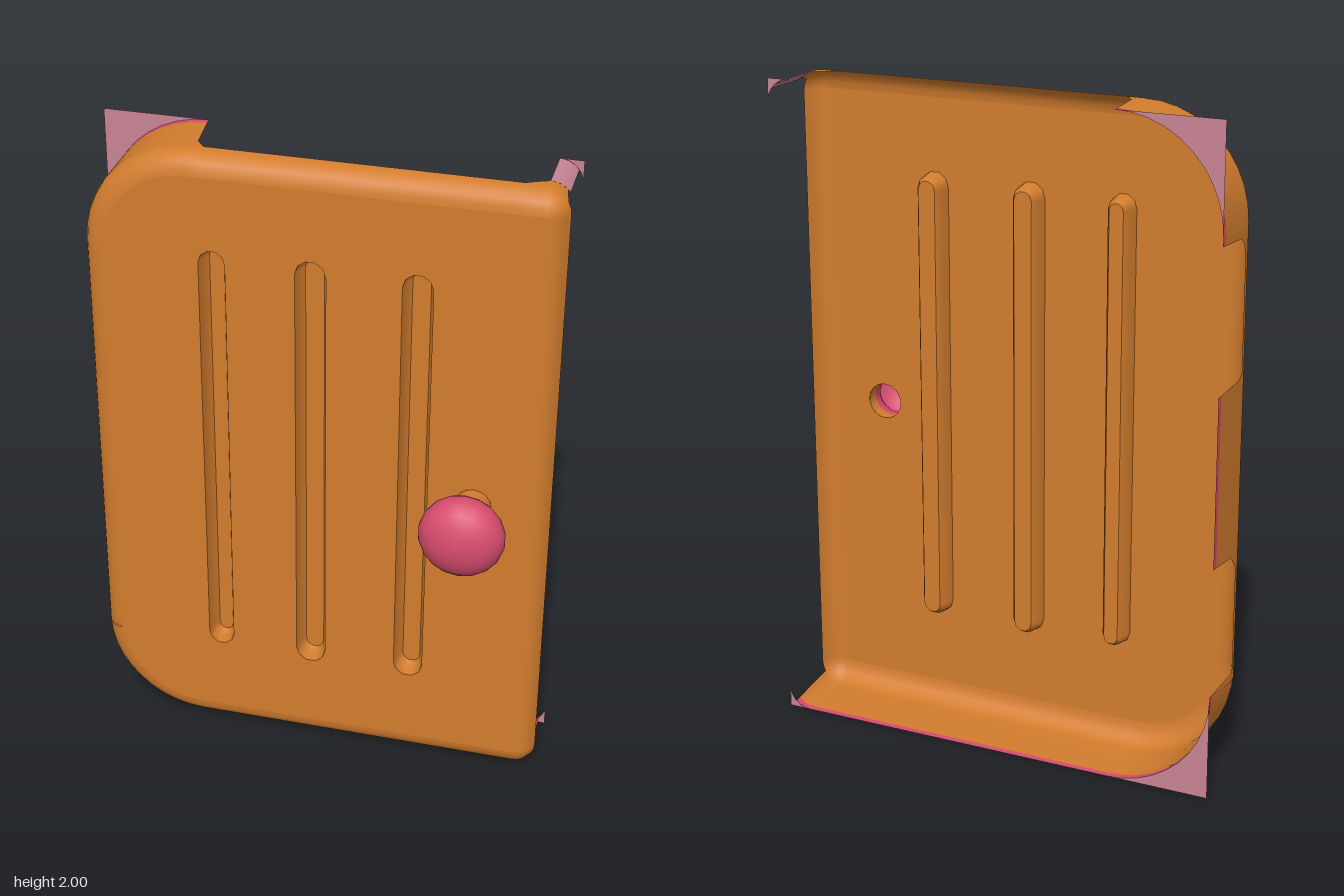
import * as THREE from 'three';

const BACK = -0.25, EDGE = -0.228, FILLET = 0.065, HALF_W = 0.705;
const R_LEFT = 0.32, R_RIGHT = 0.07;

const mat = (name, color) => {
  const m = new THREE.MeshStandardMaterial({ color, side: THREE.DoubleSide });
  m.name = name;
  return m;
};

// Skin between successive rows of points
function loft(rows, closed) {
  const n = rows[0].length, pos = [], index = [];
  rows.forEach(row => row.forEach(p => pos.push(...p)));
  for (let i = 0; i < rows.length - 1; i++) {
    for (let j = 0; j < (closed ? n : n - 1); j++) {
      const k = (j + 1) % n, a = i * n + j, b = i * n + k, c = a + n, d = b + n;
      index.push(a, c, b, b, c, d);
    }
  }
  const g = new THREE.BufferGeometry();
  g.setAttribute('position', new THREE.Float32BufferAttribute(pos, 3));
  g.setIndex(index);
  g.computeVertexNormals();
  return g;
}

// Stations around the rim: position, outward direction and wall depth
function arc(cx, cy, r, from, to, steps, depth) {
  return Array.from({ length: steps + 1 }, (_, i) => {
    const t = i / steps, a = (from + (to - from) * t) * Math.PI;
    const nx = Math.cos(a), ny = Math.sin(a);
    return { x: cx + r * nx, y: cy + r * ny, nx, ny, d: depth(t) };
  });
}

function rimStations() {
  const xl = -HALF_W + R_LEFT, xr = HALF_W - R_RIGHT;
  const top = [[0.61, -0.09], [0.57, -0.07], [-0.345, -0.07], [-0.37, -0.1]];
  const left = [[1.655, BACK], [1.645, -0.11], [1.63, -0.085], [1.59, -0.07], [1.25, -0.07],
    [1.235, -0.09], [1.23, BACK], [0.72, BACK], [0.705, -0.11], [0.66, -0.07],
    [0.34, -0.07], [0.3, -0.09], [0.325, BACK]];
  return [
    ...arc(xl, R_LEFT, R_LEFT, 1, 1.5, 10, () => BACK),
    ...arc(xr, R_RIGHT, R_RIGHT, 1.5, 2, 6, t => (t < 0.55 ? BACK : -0.05)),
    ...arc(xr, 2 - R_RIGHT, R_RIGHT, 0, 0.5, 6, t => (t < 0.45 ? -0.05 : -0.1)),
    ...top.map(([x, d]) => ({ x, y: 2, nx: 0, ny: 1, d })),
    ...arc(xl, 2 - R_LEFT, R_LEFT, 0.5, 1, 10, () => BACK),
    ...left.map(([y, d]) => ({ x: -HALF_W, y, nx: -1, ny: 0, d })),
  ];
}

const ring = (stations, inset, z) =>
  stations.map(s => [s.x - s.nx * inset, s.y - s.ny * inset, z(s)]);

// Outline of an upright slot with rounded ends
function slot(cx, y0, y1, w) {
  const pts = [];
  for (let i = 0; i <= 5; i++) pts.push([cx + w * Math.cos(i * Math.PI / 5), y1 - w + w * Math.sin(i * Math.PI / 5)]);
  for (let i = 0; i <= 5; i++) pts.push([cx - w * Math.cos(i * Math.PI / 5), y0 + w - w * Math.sin(i * Math.PI / 5)]);
  return pts;
}
const toV2 = pts => pts.map(p => new THREE.Vector2(p[0], p[1]));

export function createModel() {
  const orange = mat('orange', 0xd37d2e);
  const pink = mat('pink', 0xd84c6e);
  const pale = mat('palePink', 0xc98494);
  const model = new THREE.Group();
  model.name = 'cabinetDoor';
  const add = (name, geometry, material, parent = model) => {
    const m = new THREE.Mesh(geometry, material);
    m.name = name;
    parent.add(m);
    return m;
  };

  // Rounded rim and side walls
  const stations = rimStations();
  const rows = [];
  for (let i = 0; i <= 5; i++) {
    const a = (i / 5) * Math.PI / 2;
    rows.push(ring(stations, FILLET * (1 - Math.sin(a)), s => Math.max(s.d, -FILLET * (1 - Math.cos(a)))));
  }
  rows.push(ring(stations, 0, s => Math.max(s.d, EDGE)));
  add('rimAndWalls', loft(rows, true), orange);

  // Coloured back edge of the walls
  add('wallEdge', loft([
    ring(stations, 0, s => Math.max(s.d, EDGE)),
    ring(stations, 0, s => s.d),
  ], true), pink);

  // Front panel with slots and a knob hole
  const KX = 0.48, KY = 0.975, STEM = 0.055;
  const panel = new THREE.Shape(toV2(ring(stations, FILLET, () => 0)));
  const slots = [[-0.31, 0.315, 1.71, 0.04], [-0.017, 0.3, 1.715, 0.046], [0.296, 0.305, 1.715, 0.045]];
  slots.forEach(([x, y0, y1, w]) => panel.holes.push(new THREE.Path(toV2(slot(x, y0, y1, w)))));
  panel.holes.push(new THREE.Path().absarc(KX, KY, STEM, 0, Math.PI * 2, true));
  add('frontPanel', new THREE.ShapeGeometry(panel, 8), orange);

  // Sunken grooves
  slots.forEach(([x, y0, y1, w]) => {
    const groove = new THREE.Group();
    groove.name = 'groove';
    model.add(groove);
    const level = (inset, z) => slot(x, y0 + inset, y1 - inset, w - inset).map(p => [...p, z]);
    add('grooveSides', loft([level(0, 0), level(0.006, -0.035), level(0.018, -0.055)], true), orange, groove);
    const floor = new THREE.Shape(toV2(level(0.018, 0)));
    add('grooveFloor', new THREE.ShapeGeometry(floor), orange, groove).position.z = -0.055;
  });

  // Knob, hollow through its stem
  const knob = new THREE.Group();
  knob.name = 'knob';
  knob.position.set(KX, KY, 0);
  knob.rotation.x = Math.PI / 2;
  model.add(knob);
  const lathe = pts => new THREE.LatheGeometry(pts.map(p => new THREE.Vector2(...p)), 18);
  add('knobStemBase', lathe([[STEM, 0], [STEM, 0.04]]), orange, knob);
  const profile = [[STEM, 0.04], [0.056, 0.07], [0.068, 0.09]];
  for (let i = 0; i <= 10; i++) {
    const a = -0.72 + (i / 10) * (0.72 + Math.PI / 2);
    profile.push([Math.max(0.129 * Math.cos(a), 0), 0.164 + 0.086 * Math.sin(a)]);
  }
  add('knobBall', lathe(profile), pink, knob);

  // Flat webs squaring off the back corners
  for (const sx of [-1, 1]) for (const top of [false, true]) {
    const r = sx < 0 ? R_LEFT : R_RIGHT;
    const web = new THREE.Shape();
    const py = y => (top ? 2 - y : y);
    web.moveTo(sx * HALF_W, py(0));
    for (let i = 0; i <= 10; i++) {
      const a = (i / 10) * Math.PI / 2;
      web.lineTo(sx * (HALF_W - r + r * Math.cos(a)), py(r - r * Math.sin(a)));
    }
    add('cornerWeb', new THREE.ShapeGeometry(web), pale).position.z = BACK;
  }

  // Tab behind the upper corner on the open side
  const tab = arc(HALF_W - R_RIGHT, 2 - R_RIGHT, R_RIGHT, 0.2, 0.5, 5, () => BACK);
  add('cornerTab', loft([ring(tab, 0, () => -0.1), ring(tab, 0, () => BACK)], false), pale);

  return model;
}
